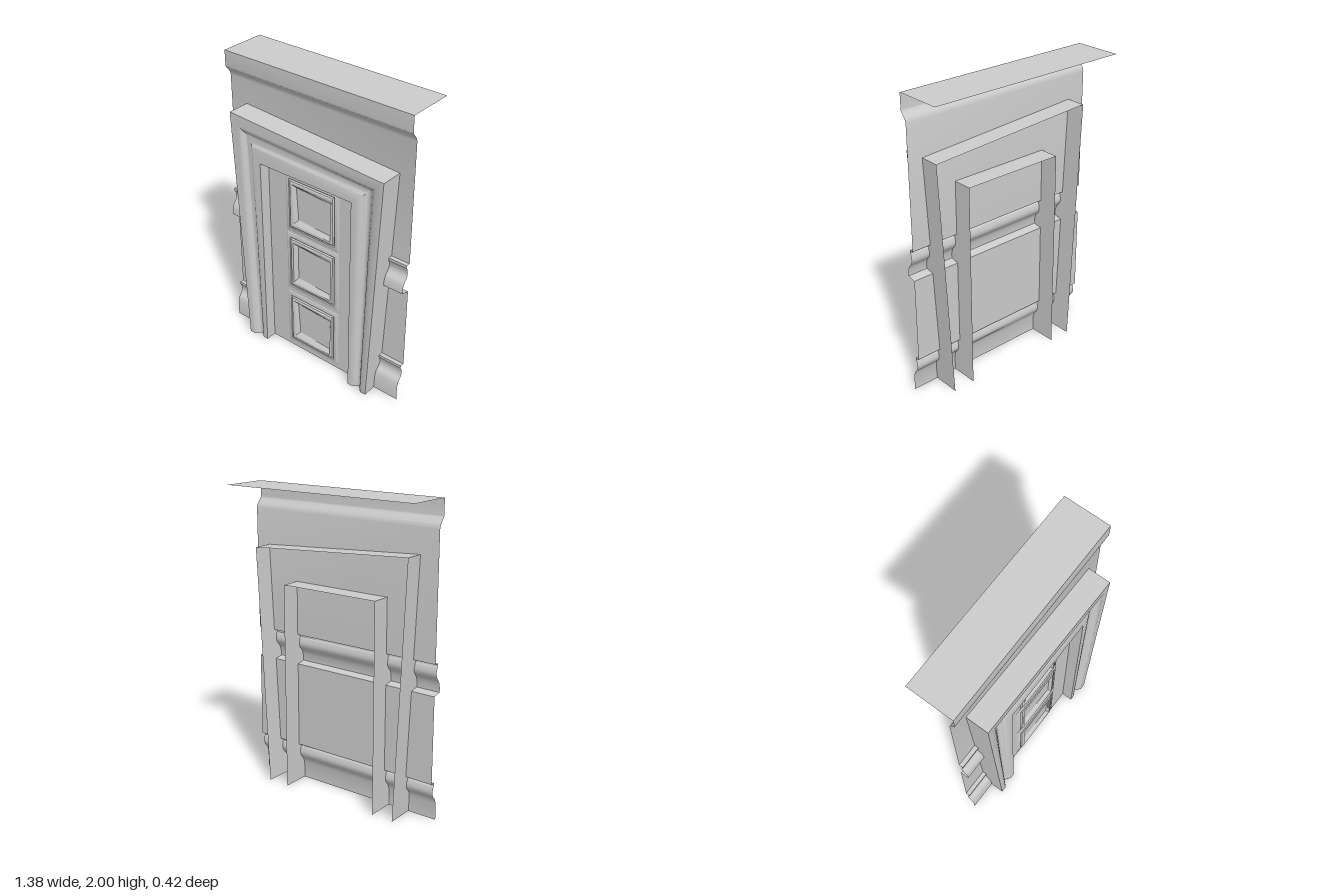
import * as THREE from 'three';
import { toCreasedNormals } from 'three/addons/utils/BufferGeometryUtils.js';

const grey = new THREE.MeshStandardMaterial({ color: 0xcccccc, side: THREE.DoubleSide });

// Skin a list of rows (each an equal-length list of [x, y, z]) with quads
function skin(rows, closed = false, crease = 0.7) {
  const n = rows[0].length, index = [];
  for (let r = 0; r < rows.length - 1; r++) {
    for (let i = 0; i < (closed ? n : n - 1); i++) {
      const j = (i + 1) % n;
      const a = r * n + i, b = r * n + j, c = a + n, d = b + n;
      index.push(a, c, b, b, c, d);
    }
  }
  const geo = new THREE.BufferGeometry();
  geo.setAttribute('position', new THREE.Float32BufferAttribute(rows.flat(2), 3));
  geo.setIndex(index);
  return toCreasedNormals(geo, crease);
}

function add(parent, name, geo) {
  const mesh = new THREE.Mesh(geo, grey);
  mesh.name = name;
  parent.add(mesh);
  return mesh;
}

// Smooth run of [y, z] or [t, z] points through a few control points
function smooth(points, steps) {
  const curve = new THREE.SplineCurve(points.map(p => new THREE.Vector2(...p)));
  return curve.getPoints(steps).map(p => [p.x, p.y]);
}

// Moulding with a small lip on top, a hollow, then a swell; y is its top edge
const moulding = y => [
  [y, 0.06], [y, 0.088], [y - 0.02, 0.088],
  ...smooth([[y - 0.025, 0.082], [y - 0.06, 0.074], [y - 0.09, 0.082], [y - 0.12, 0.106], [y - 0.16, 0.117]], 14),
];

// Wall with cornice, rail and base, one profile drawn across the width
function wall() {
  const profile = [
    [2, -0.21], [2, 0.10], [1.9, 0.10],
    ...smooth([[1.89, 0.098], [1.87, 0.08], [1.85, 0.066], [1.83, 0.06]], 8),
    ...moulding(1.03), [0.842, 0.117], [0.83, 0.06],
    ...moulding(0.26), [0, 0.117],
  ];
  return skin([-0.69, 0.69].map(x => profile.map(([y, z]) => [x, y, z])).reverse());
}

// Crooked door surround: the moulding runs from the outer to the inner outline
function surround() {
  const outer = [[-0.49, 0], [-0.565, 1.67], [0.59, 1.6], [0.51, 0]];
  const inner = [[-0.34, 0], [-0.34, 1.385], [0.36, 1.385], [0.36, 0]];
  const profile = [
    [0, -0.07], [0, 0.21],
    ...smooth([[0.26, 0.21], [0.36, 0.197], [0.46, 0.177], [0.58, 0.177], [0.7, 0.193], [0.82, 0.2]], 20),
    [1, 0.2], [1, -0.07],
  ];
  const rows = profile.map(([t, z]) => outer.map(([x, y], i) => [
    THREE.MathUtils.lerp(x, inner[i][0], t), THREE.MathUtils.lerp(y, inner[i][1], t), z,
  ]));
  return skin(rows);
}

const rect = (x0, x1, y0, y1) => [[x0, y0], [x0, y1], [x1, y1], [x1, y0]];
const DOOR_Z = 0.125;
const panels = [[0.035, 0.455], [0.485, 0.92], [0.935, 1.35]];

// Door sheet with an opening for every panel
function doorSheet() {
  const path = pts => pts.map(p => new THREE.Vector2(...p));
  const shape = new THREE.Shape(path(rect(-0.34, 0.36, 0, 1.385)));
  for (const [y0, y1] of panels) shape.holes.push(new THREE.Path(path(rect(-0.2, 0.22, y0, y1))));
  return new THREE.ShapeGeometry(shape).translate(0, 0, DOOR_Z);
}

// Panel moulding: raised rim, groove, cushion, then a slope to a crooked field
function panel(y0, y1, lean) {
  const edge = rect(-0.2, 0.22, y0, y1);
  const inset = d => rect(-0.2 + d, 0.22 - d, y0 + d, y1 - d);
  const field = [
    [-0.105 - lean, y0 + 0.10], [-0.12 + lean, y1 - 0.085],
    [0.165 - lean, y1 - 0.1], [0.145 + lean, y0 + 0.088],
  ];
  const at = (pts, z) => pts.map(([x, y]) => [x, y, z]);
  const rows = [
    at(edge, DOOR_Z), at(inset(0.012), 0.131), at(inset(0.03), 0.134),
    at(inset(0.038), 0.126), at(inset(0.042), 0.138), at(inset(0.052), 0.143),
  ];
  // Hollow slope blending the square cushion into the field
  const square = inset(0.052);
  for (const [t, z] of [[0.3, 0.142], [0.65, 0.132], [1, 0.121]]) {
    rows.push(at(square.map(([x, y], i) => [
      THREE.MathUtils.lerp(x, field[i][0], t), THREE.MathUtils.lerp(y, field[i][1], t),
    ]), z));
  }
  // Flat field closed to its middle
  const mid = [0, 1].map(k => field.reduce((s, p) => s + p[k] / 4, 0));
  rows.push(field.map(() => [...mid, 0.121]));
  return skin(rows, true, 0.5);
}

export function createModel() {
  const model = new THREE.Group();
  model.name = 'doorway';
  add(model, 'wall', wall());
  add(model, 'doorSurround', surround());

  const door = new THREE.Group();
  door.name = 'door';
  add(door, 'doorSheet', doorSheet());
  panels.forEach(([y0, y1], i) => add(door, 'doorPanel' + (i + 1), panel(y0, y1, i === 1 ? 0.008 : 0)));
  model.add(door);
  return model;
}
